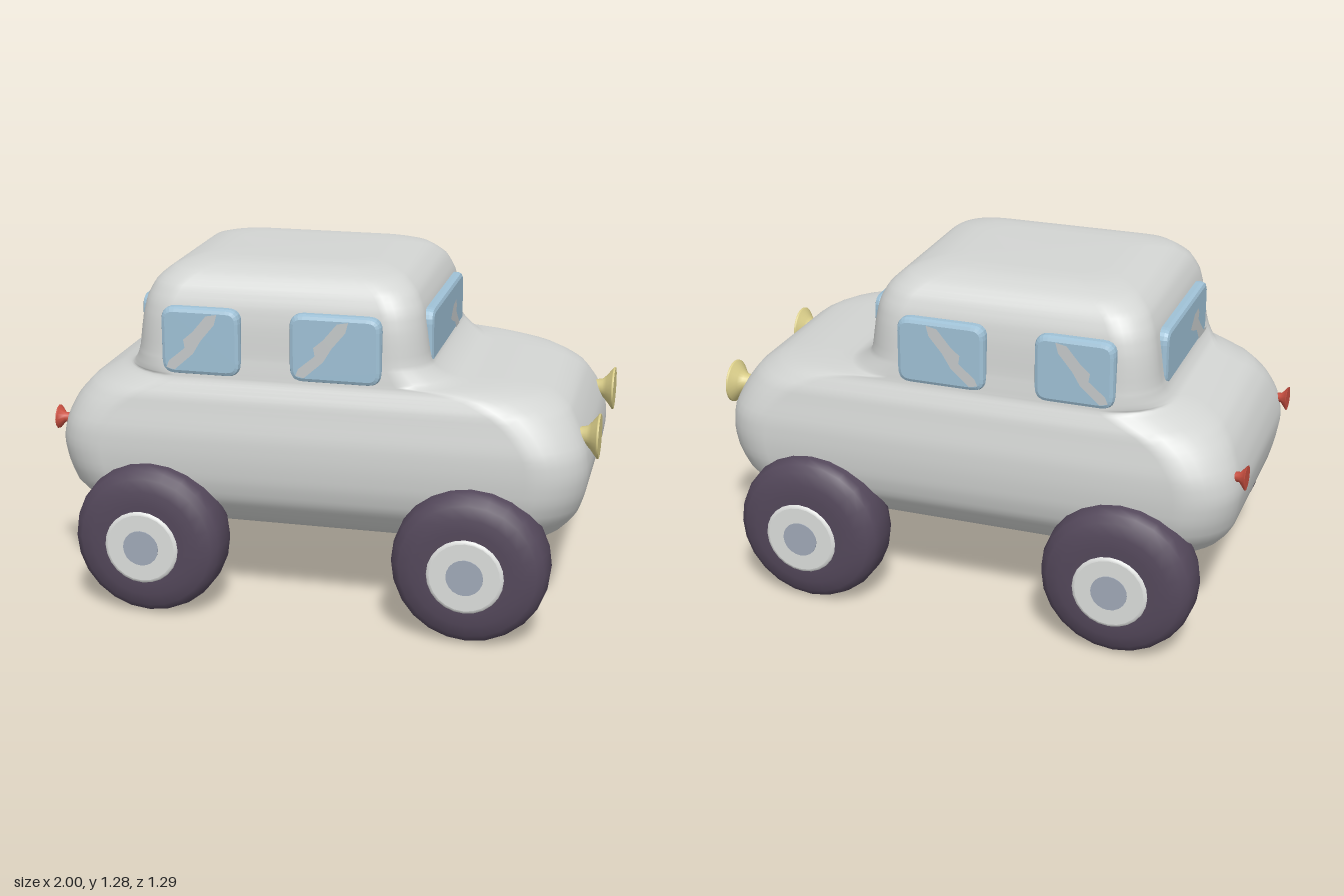
import * as THREE from 'three';

const mat = (name, color) => new THREE.MeshStandardMaterial({ name, color });
const paint = mat('body paint', 0xd3d5d3);
const rubber = mat('tyre rubber', 0x54485b);
const hubPaint = mat('hub paint', 0xdcdedc);
const hubCentre = mat('hub centre', 0xa0a9b8);
const glass = mat('window glass', 0x9fc1d6);
const glare = mat('window glare', 0xc6cacb);
const lampYellow = mat('headlight yellow', 0xd8cc88);
const lampRed = mat('tail light red', 0xcc5142);

function add(parent, name, geometry, material) {
  const mesh = new THREE.Mesh(geometry, material);
  mesh.name = name;
  parent.add(mesh);
  return mesh;
}

// Smooth body: rounded-rectangle slices stacked upwards.
// Each slice: y, rear x, front x, half width, corner radius
const SLICES = [
  [0.31, -0.78, 0.76, 0.30, 0.15], [0.318, -0.84, 0.82, 0.37, 0.17],
  [0.36, -0.90, 0.88, 0.425, 0.19], [0.44, -0.95, 0.935, 0.49, 0.2],
  [0.52, -0.97, 0.96, 0.515, 0.2], [0.60, -0.98, 0.97, 0.523, 0.2],
  [0.68, -0.965, 0.96, 0.522, 0.2], [0.76, -0.93, 0.925, 0.508, 0.22],
  [0.82, -0.88, 0.885, 0.497, 0.25], [0.865, -0.80, 0.81, 0.48, 0.27],
  [0.887, -0.745, 0.68, 0.472, 0.25], [0.90, -0.715, 0.50, 0.47, 0.2],
  [0.93, -0.69, 0.44, 0.466, 0.16], [0.97, -0.675, 0.40, 0.46, 0.14],
  [1.08, -0.66, 0.383, 0.452, 0.13], [1.15, -0.645, 0.37, 0.44, 0.13],
  [1.21, -0.615, 0.34, 0.415, 0.13], [1.255, -0.56, 0.285, 0.37, 0.13],
  [1.278, -0.48, 0.20, 0.29, 0.12], [1.285, -0.40, 0.11, 0.20, 0.1],
];

function bodyGeometry() {
  const extents = new THREE.CatmullRomCurve3(SLICES.map((s) => new THREE.Vector3(s[1], s[2], s[3])));
  const heights = new THREE.CatmullRomCurve3(SLICES.map((s) => new THREE.Vector3(s[0], s[4], 0)));
  const levels = (SLICES.length - 1) * 3, perCorner = 9, n = perCorner * 4;
  const pos = [], index = [];
  for (let l = 0; l <= levels; l++) {
    const e = extents.getPoint(l / levels), h = heights.getPoint(l / levels);
    const cx = (e.x + e.y) / 2, hx = (e.y - e.x) / 2, r = h.y;
    for (let c = 0; c < 4; c++) {
      const sx = c === 0 || c === 3 ? 1 : -1, sz = c < 2 ? 1 : -1;
      for (let k = 0; k < perCorner; k++) {
        const a = (c + k / (perCorner - 1)) * Math.PI / 2;
        pos.push(cx + sx * (hx - r) + r * Math.cos(a), h.x, sz * (e.z - r) + r * Math.sin(a));
      }
    }
  }
  for (let l = 0; l < levels; l++) {
    for (let i = 0; i < n; i++) {
      const a = l * n + i, b = l * n + (i + 1) % n;
      index.push(a, a + n, b, b, a + n, b + n);
    }
  }
  // floor and roof caps
  const floor = pos.length / 3, roof = floor + 1, top = levels * n;
  pos.push(0, 0.31, 0, -0.145, 1.285, 0);
  for (let i = 0; i < n; i++) {
    const j = (i + 1) % n;
    index.push(floor, i, j, roof, top + j, top + i);
  }
  const g = new THREE.BufferGeometry();
  g.setAttribute('position', new THREE.Float32BufferAttribute(pos, 3));
  g.setIndex(index);
  g.computeVertexNormals();
  return g;
}

function roundedRect(x0, x1, y0, y1, r) {
  const s = new THREE.Shape();
  s.moveTo(x0 + r, y0);
  s.lineTo(x1 - r, y0);
  s.quadraticCurveTo(x1, y0, x1, y0 + r);
  s.lineTo(x1, y1 - r);
  s.quadraticCurveTo(x1, y1, x1 - r, y1);
  s.lineTo(x0 + r, y1);
  s.quadraticCurveTo(x0, y1, x0, y1 - r);
  s.lineTo(x0, y0 + r);
  s.quadraticCurveTo(x0, y0, x0 + r, y0);
  return s;
}

// Pane with bevelled rim and a flat streak of glare; outer face lies at "front"
function makeWindow(name, [x0, x1, y0, y1], front, streak, flip = 1) {
  const group = new THREE.Group();
  group.name = name;
  const [a, b] = flip > 0 ? [x0, x1] : [-x1, -x0];
  const pane = new THREE.ExtrudeGeometry(roundedRect(a, b, y0, y1, 0.05), {
    depth: 0.02, bevelEnabled: true, bevelThickness: 0.018, bevelSize: 0.016,
    bevelOffset: -0.016, bevelSegments: 2, curveSegments: 5,
  });
  pane.translate(0, 0, front - 0.038);
  add(group, 'pane', pane, glass);
  const shape = new THREE.Shape(streak.map(([x, y]) => new THREE.Vector2(x * flip, y)));
  add(group, 'glareStreak', new THREE.ShapeGeometry(shape), glare).position.z = front + 0.002;
  return group;
}

const SIDE_STREAK = [[-0.53, 0.925], [-0.50, 0.918], [-0.43, 0.98], [-0.40, 1.03], [-0.35, 1.09],
  [-0.34, 1.128], [-0.38, 1.12], [-0.43, 1.06], [-0.465, 1.03], [-0.46, 1.0], [-0.52, 0.95]];
const END_STREAK = [[0.035, 1.025], [0.09, 1.065], [0.14, 1.072], [0.158, 1.05], [0.15, 1.025],
  [0.24, 0.95], [0.29, 0.945], [0.28, 0.935], [0.17, 0.94], [0.13, 0.99], [0.08, 1.005]];

// Turned part: points are [radius, distance along axis]
const turned = (points, sides) =>
  new THREE.LatheGeometry(points.map(([r, d]) => new THREE.Vector2(r, d)), sides);

function makeWheel(name, x, side) {
  const wheel = new THREE.Group();
  wheel.name = name;
  add(wheel, 'tyre', turned([[0, -0.105], [0.15, -0.107], [0.2, -0.105], [0.245, -0.092], [0.27, -0.073],
    [0.281, -0.04], [0.283, 0], [0.281, 0.04], [0.27, 0.073], [0.245, 0.092], [0.2, 0.105],
    [0.15, 0.107], [0, 0.105]], 24), rubber);
  add(wheel, 'hubCap', turned([[0.07, 0.09], [0.09, 0.112], [0.125, 0.13], [0.137, 0.137],
    [0.137, 0.137], [0.133, 0.143], [0.125, 0.145], [0.125, 0.145], [0, 0.145]], 24), hubPaint);
  const centre = add(wheel, 'hubCentre', new THREE.CylinderGeometry(0.066, 0.066, 0.004, 20), hubCentre);
  centre.position.y = 0.146;
  wheel.rotation.x = side * Math.PI / 2;
  wheel.position.set(x, 0.285, side * 0.499);
  return wheel;
}

export function createModel() {
  const car = new THREE.Group();
  car.name = 'car';
  add(car, 'body', bodyGeometry(), paint);

  for (const side of [1, -1]) {
    const label = side > 0 ? 'Right' : 'Left';
    // wheels
    car.add(makeWheel('rear' + label + 'Wheel', -0.595, side));
    car.add(makeWheel('front' + label + 'Wheel', 0.585, side));

    // side windows
    const rear = makeWindow('rear' + label + 'Window', [-0.55, -0.26, 0.9, 1.145], 0.484, SIDE_STREAK, side);
    const fore = makeWindow('front' + label + 'Window', [-0.08, 0.25, 0.9, 1.145], 0.484,
      SIDE_STREAK.map(([x, y]) => [x + 0.475, y]), side);
    for (const w of [rear, fore]) {
      w.rotation.y = side > 0 ? 0 : Math.PI;
      car.add(w);
    }

    // flared lamps
    const head = add(car, 'headlight' + label, turned([[0.03, -0.07], [0.035, -0.045], [0.05, -0.03],
      [0.078, -0.008], [0.08, -0.006], [0.08, 0], [0.08, 0], [0, 0]], 24), lampYellow);
    head.rotation.z = -Math.PI / 2;
    head.position.set(1, 0.72, side * 0.295);
    const tail = add(car, 'tailLight' + label, turned([[0.018, -0.06], [0.018, -0.025], [0.042, -0.005],
      [0.045, 0], [0.045, 0], [0, 0]], 12), lampRed);
    tail.rotation.z = Math.PI / 2;
    tail.position.set(-1, 0.665, side * 0.36);
  }

  // windscreen and rear window
  const windscreen = makeWindow('windscreen', [-0.32, 0.32, 0.93, 1.145], 0.404, END_STREAK);
  windscreen.rotation.y = Math.PI / 2;
  const backWindow = makeWindow('backWindow', [-0.29, 0.29, 0.925, 1.135], 0.685, END_STREAK);
  backWindow.rotation.y = -Math.PI / 2;
  car.add(windscreen, backWindow);
  return car;
}
